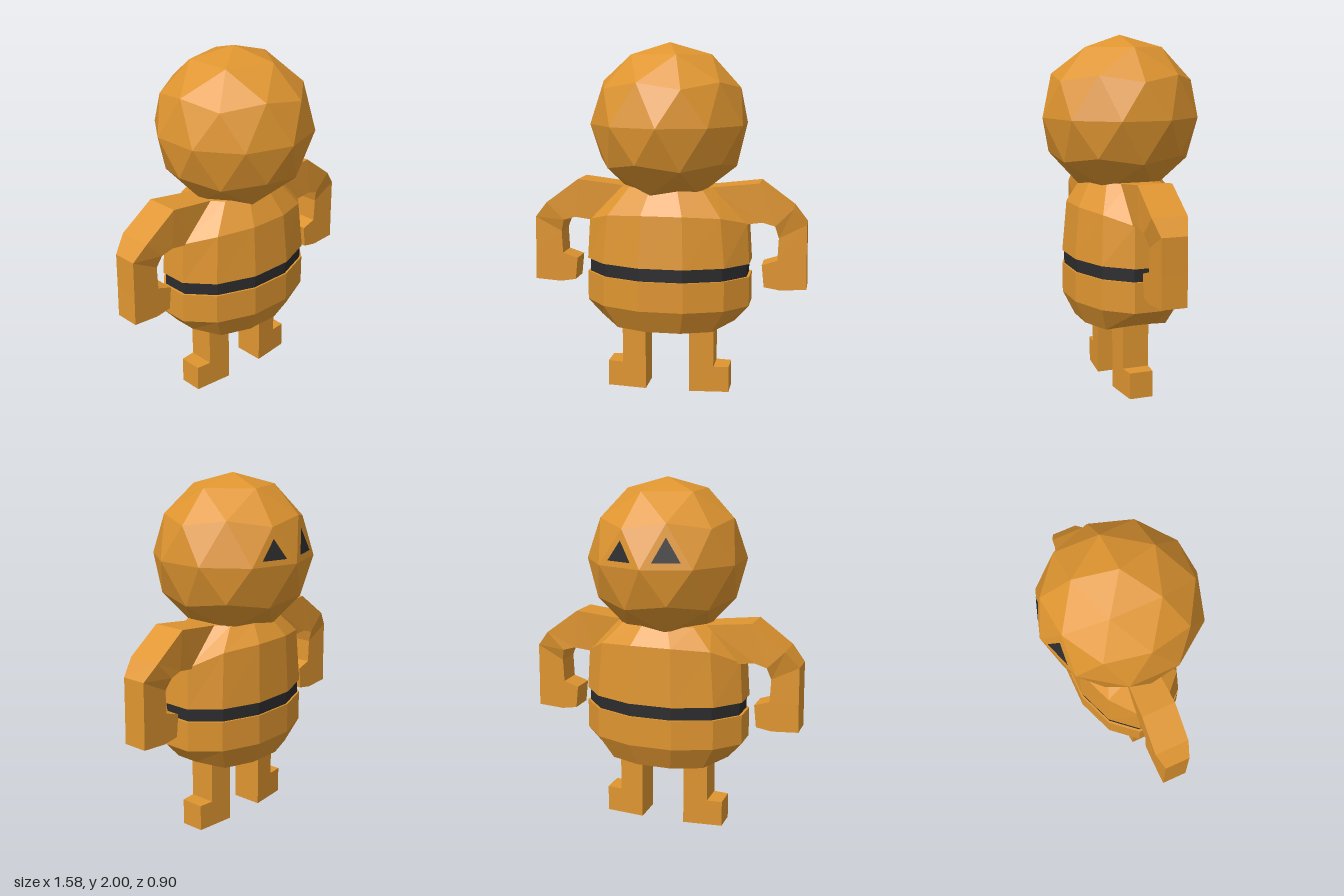
import * as THREE from 'three';

const skin = new THREE.MeshStandardMaterial({ color: 0xdf9530 });
skin.name = 'orange';
const dark = new THREE.MeshStandardMaterial({ color: 0x2c2c2e });
dark.name = 'charcoal';

const flat = (pts) => {
  const g = new THREE.BufferGeometry().setFromPoints(pts);
  g.computeVertexNormals();
  return g;
};

// Faceted skin over equal-sized rings, with both ends capped
function loft(rings) {
  const tris = [];
  const n = rings[0].length;
  const centre = (r) => r.reduce((s, p) => s.add(p), new THREE.Vector3()).divideScalar(n);
  const first = rings[0], last = rings[rings.length - 1];
  const c0 = centre(first), c1 = centre(last);
  for (let j = 0; j < n; j++) {
    const k = (j + 1) % n;
    for (let i = 0; i < rings.length - 1; i++) {
      const a = rings[i], b = rings[i + 1];
      tris.push(a[j], a[k], b[k], a[j], b[k], b[j]);
    }
    tris.push(c0, first[k], first[j], c1, last[j], last[k]);
  }
  return flat(tris);
}

// Twelve-sided oval ring; fn gives [y, xScale, zScale] for side, corner, front/back points
function bodyRing(fn) {
  return Array.from({ length: 12 }, (_, i) => {
    const a = ((i * 30 + 15) * Math.PI) / 180;
    const x = Math.cos(a), z = -Math.sin(a);
    const kind = Math.abs(x) > 0.9 ? 0 : Math.abs(x) > 0.5 ? 1 : 2;
    const [y, sx, sz] = fn(kind, z < 0);
    return new THREE.Vector3(x * 0.485 * sx, y, z * 0.318 * sz);
  });
}
const even = (y, s) => bodyRing(() => [y, s, s]);

// Four-cornered section of an arm: outer point, inner point, back and front z
function armRing([ox, oy, ix, iy, z0, z1], side) {
  const r = [[ox, oy, z0], [ox, oy, z1], [ix, iy, z1], [ix, iy, z0]]
    .map(([x, y, z]) => new THREE.Vector3(side * x, y, z));
  return side < 0 ? r.reverse() : r;
}

export function createModel() {
  const model = new THREE.Group();
  const add = (name, geometry, material = skin) => {
    const m = new THREE.Mesh(geometry, material);
    m.name = name;
    model.add(m);
  };

  // Head: faceted ball with one corner pointing straight up
  const R = 0.45, headY = 1.55;
  const head = new THREE.IcosahedronGeometry(R, 1);
  head.rotateZ(-Math.atan(2 / (1 + Math.sqrt(5))));
  head.translate(0, headY, 0);
  head.computeVertexNormals();
  add('head', head);

  // Eyes: thin triangles inset on two head facets
  const onHead = (deg, r, y) => {
    const a = (deg * Math.PI) / 180;
    return new THREE.Vector3(Math.cos(a) * r * R, headY + y * R, Math.sin(a) * r * R);
  };
  const eye = (name, a, b, c) => {
    const mid = a.clone().add(b).add(c).divideScalar(3);
    const normal = b.clone().sub(a).cross(c.clone().sub(a)).normalize();
    const pts = [a, b, c].map((p) => p.clone().lerp(mid, 0.45).addScaledVector(normal, 0.004));
    add(name, flat(pts), dark);
  };
  eye('leftEye', onHead(306, 1, 0), onHead(270, 1, 0), onHead(288, 0.894, 0.447));
  eye('rightEye', onHead(270, 1, 0), onHead(234, 1, 0), onHead(252, 0.851, 0.526));

  // Body in three bands
  add('lowerBody', loft([
    bodyRing((k) => (k === 0 ? [0.435, 0.83, 0.83] : [0.39, 0.79, 0.79])),
    even(0.525, 1), even(0.695, 1),
  ]));
  add('belt', loft([even(0.69, 0.968), even(0.775, 0.968)]), dark);
  add('upperBody', loft([
    even(0.77, 1),
    bodyRing((k, back) => [
      [1.0, 0.97, 0.95],
      [back ? 1.08 : 1.045, 0.93, back ? 0.95 : 0.93],
      [back ? 1.1 : 1.06, 0.92, back ? 0.955 : 0.92],
    ][k]),
    bodyRing((k, back) => [1.2, 0.6, back ? 0.72 : 0.66]),
  ]));

  for (const side of [1, -1]) {
    const label = side > 0 ? 'left' : 'right';

    // Bent arm and inward-turned hand
    const arm = [
      [0.25, 1.2, 0.4, 0.99, -0.09, 0.085],
      [0.52, 1.23, 0.54, 1.01, -0.105, 0.09],
      [0.71, 1.09, 0.61, 0.99, -0.11, 0.088],
      [0.785, 1.0, 0.63, 0.92, -0.08, 0.065],
      [0.787, 0.8, 0.624, 0.79, -0.08, 0.065],
      [0.79, 0.63, 0.64, 0.62, -0.08, 0.065],
    ];
    const hand = [
      [0.64, 0.62, 0.624, 0.79, -0.08, 0.065],
      [0.55, 0.635, 0.537, 0.762, -0.08, 0.065],
    ];
    add(label + 'Arm', loft(arm.map((r) => armRing(r, side))));
    add(label + 'Hand', loft(hand.map((r) => armRing(r, side))));

    // Leg with outward foot, thinner towards the outside
    const outline = [[0.128, 0], [0.356, 0], [0.356, 0.15], [0.268, 0.15], [0.268, 0.4], [0.128, 0.4]];
    const shape = new THREE.Shape(outline.map(([x, y]) => new THREE.Vector2(side * x, y)));
    const leg = new THREE.ExtrudeGeometry(shape, { depth: 2, bevelEnabled: false });
    leg.translate(0, 0, -1);
    const p = leg.attributes.position;
    for (let i = 0; i < p.count; i++) {
      p.setZ(i, p.getZ(i) * (0.09 - (Math.abs(p.getX(i)) - 0.128) * 0.1));
    }
    leg.computeVertexNormals();
    add(label + 'Leg', leg);
  }
  return model;
}
